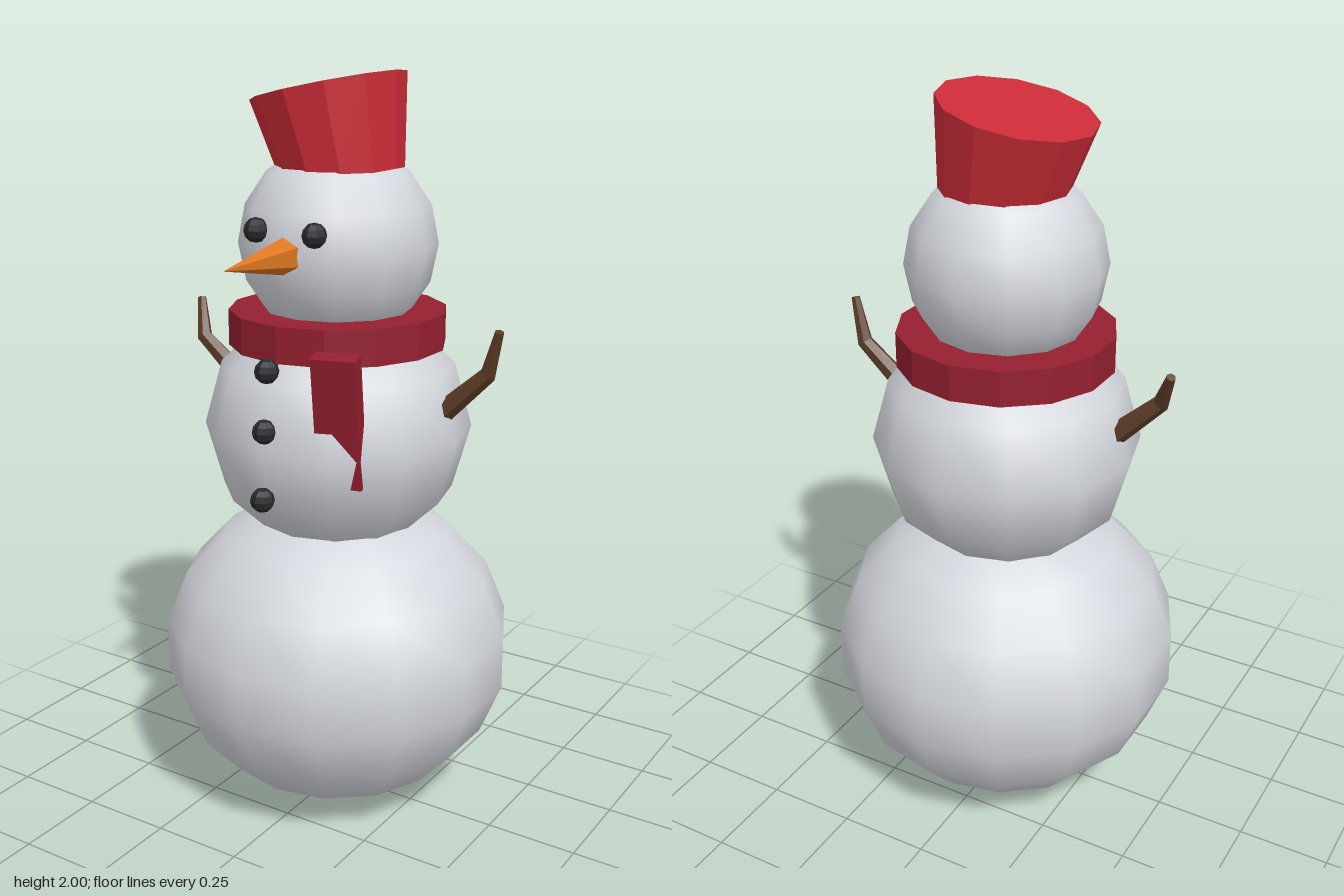
import * as THREE from 'three';

const mat = (name, color) => {
  const m = new THREE.MeshStandardMaterial({ color });
  m.name = name;
  return m;
};

// Faceted copy of a geometry
function faceted(geo) {
  const g = geo.index ? geo.toNonIndexed() : geo;
  g.computeVertexNormals();
  return g;
}

// Tapered, bent branch: a ring of corners at each path point, capped at both ends
function branchGeometry(points, radii, sides = 6) {
  const path = points.map((p) => new THREE.Vector3(...p));
  const pos = [], idx = [];
  path.forEach((p, i) => {
    const dir = path[Math.min(i + 1, path.length - 1)].clone()
      .sub(path[Math.max(i - 1, 0)]).normalize();
    const u = new THREE.Vector3(0, 0, 1).cross(dir).normalize();
    const v = dir.clone().cross(u);
    for (let k = 0; k < sides; k++) {
      const a = (k / sides) * Math.PI * 2;
      const q = p.clone().addScaledVector(u, Math.cos(a) * radii[i])
        .addScaledVector(v, Math.sin(a) * radii[i]);
      pos.push(q.x, q.y, q.z);
    }
  });
  const last = (path.length - 1) * sides;
  for (let i = 0; i < path.length - 1; i++) {
    for (let k = 0; k < sides; k++) {
      const a = i * sides + k, b = i * sides + (k + 1) % sides;
      idx.push(a, b, b + sides, a, b + sides, a + sides);
    }
  }
  for (let k = 1; k < sides - 1; k++) {
    idx.push(0, k + 1, k, last, last + k, last + k + 1);
  }
  const g = new THREE.BufferGeometry();
  g.setAttribute('position', new THREE.Float32BufferAttribute(pos, 3));
  g.setIndex(idx);
  return faceted(g);
}

export function createModel() {
  const snow = mat('snow', 0xd3d6dc);
  const hatRed = mat('hat red', 0xcb2c37);
  const scarfRed = mat('scarf red', 0x94202f);
  const coal = mat('coal', 0x27292b);
  const carrot = mat('carrot orange', 0xdb7620);
  const twig = mat('twig brown', 0x5b3c26);

  const model = new THREE.Group();
  const add = (name, geo, material, x = 0, y = 0, z = 0) => {
    const mesh = new THREE.Mesh(geo, material);
    mesh.name = name;
    mesh.position.set(x, y, z);
    model.add(mesh);
    return mesh;
  };

  // Three stacked snowballs, smooth shaded: name, radius, half height, sides, rows, centre y
  const balls = [
    ['lowerBody', 0.485, 0.435, 14, 9, 0.435],
    ['torso', 0.36, 0.345, 12, 6, 1.07],
    ['head', 0.262, 0.262, 12, 8, 1.56],
  ];
  for (const [name, r, h, sides, rows, y] of balls) {
    const geo = new THREE.SphereGeometry(1, sides, rows).rotateY(Math.PI / 2).scale(r, h, r);
    add(name, geo, snow, 0, y, -0.01);
  }

  // Scarf band and its hanging end, tucked into the torso
  add('scarf', faceted(new THREE.CylinderGeometry(0.289, 0.289, 0.095, 14)), scarfRed, 0, 1.343, -0.01);
  const tail = add('scarfTail', new THREE.BoxGeometry(0.115, 0.35, 0.05).translate(0, -0.175, 0),
    scarfRed, 0.184, 1.34, 0.29);
  tail.rotation.set(0.17, 0.27, 0, 'YXZ');

  // Hat leaning towards the model's right
  const hat = add('hat', faceted(new THREE.CylinderGeometry(0.204, 0.158, 0.235, 12)), hatRed,
    -0.006, 1.842, -0.01);
  hat.rotation.z = 0.21;

  // Coal eyes and buttons
  const lump = faceted(new THREE.SphereGeometry(0.032, 8, 6));
  for (const s of [1, -1]) add(s > 0 ? 'leftEye' : 'rightEye', lump, coal, s * 0.087, 1.617, 0.233);
  [[1.285, 0.318], [1.132, 0.332], [0.955, 0.345]].forEach(([y, z], i) =>
    add('button' + (i + 1), lump, coal, 0, y, z));

  // Carrot nose
  const nose = new THREE.ConeGeometry(0.048, 0.25, 6).rotateX(Math.PI / 2);
  add('nose', faceted(nose), carrot, 0, 1.56, 0.361);

  // Twig arms
  const radii = [0.029, 0.028, 0.022, 0.012];
  add('leftArm', branchGeometry(
    [[0.29, 1.12, -0.013], [0.335, 1.165, -0.017], [0.437, 1.262, -0.028], [0.474, 1.38, -0.01]], radii), twig);
  add('rightArm', branchGeometry(
    [[-0.29, 1.125, -0.01], [-0.335, 1.17, -0.005], [-0.432, 1.262, 0.01], [-0.473, 1.36, -0.035]], radii), twig);

  return model;
}
